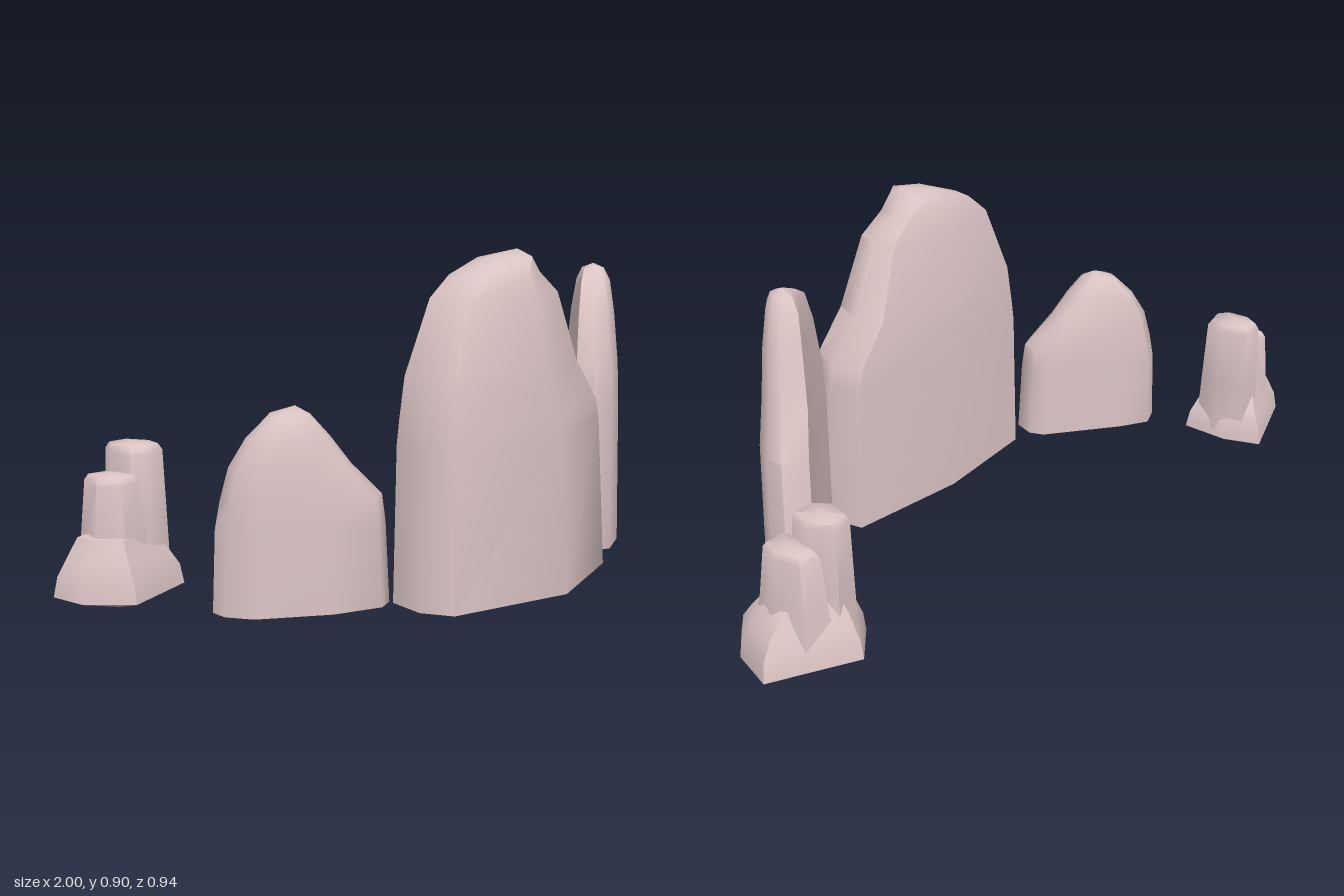
import * as THREE from 'three';
import { toCreasedNormals } from 'three/addons/utils/BufferGeometryUtils.js';

const stone = new THREE.MeshStandardMaterial({ color: 0xdac3c3 });
stone.name = 'pale pink stone';

// Lofts a footprint of [x, z] points upward. dir is the long axis in plan.
// Each ring is [y, start, end, thickness], start and end as fractions of the long axis.
// base and tip are [y, fraction] points closing the bottom and the top.
function rock(name, footprint, dir, base, rings, tip) {
  const len = Math.hypot(dir[0], dir[1]);
  const dx = dir[0] / len, dz = dir[1] / len;
  const local = footprint.map(([x, z]) => [x * dx + z * dz, z * dx - x * dz]);
  const us = local.map((p) => p[0]), vs = local.map((p) => p[1]);
  const u0 = Math.min(...us), span = Math.max(...us) - u0;
  const vc = (Math.min(...vs) + Math.max(...vs)) / 2;
  const pos = [], index = [], n = footprint.length;
  const put = (f, v, y) => {
    const u = u0 + f * span;
    pos.push(u * dx - v * dz, y, u * dz + v * dx);
  };

  for (const [y, start, end, thick] of rings) {
    for (const [u, v] of local) {
      put(start + ((u - u0) / span) * (end - start), vc + (v - vc) * thick, y);
    }
  }
  put(base[1], vc, base[0]);
  put(tip[1], vc, tip[0]);

  const bottom = rings.length * n, top = bottom + 1, last = bottom - n;
  for (let j = 0; j < n; j++) {
    const k = (j + 1) % n;
    for (let i = 0; i < rings.length - 1; i++) {
      const a = i * n + j, b = i * n + k;
      index.push(a, b, b + n, a, b + n, a + n);
    }
    index.push(bottom, k, j, last + j, last + k, top);
  }

  const geo = new THREE.BufferGeometry();
  geo.setAttribute('position', new THREE.Float32BufferAttribute(pos, 3));
  geo.setIndex(index);
  const mesh = new THREE.Mesh(toCreasedNormals(geo, 0.95), stone);
  mesh.name = name;
  return mesh;
}

// A spreading plinth carrying a tall and a short pillar
function cluster(name, dir, plinth, tall, short) {
  const g = new THREE.Group();
  g.name = name;
  g.add(
    rock('plinth', plinth, dir, [0.035, 0.5],
      [[0.08, 0, 1, 1], [0.13, 0.02, 0.98, 0.92], [0.17, 0.07, 0.9, 0.76], [0.225, 0.16, 0.74, 0.55]],
      [0.23, 0.45]),
    rock('tallPillar', tall, dir, [0.09, 0.5],
      [[0.1, -0.08, 1.08, 1.18], [0.25, -0.04, 1.04, 1.1], [0.42, 0, 1, 1], [0.435, 0.08, 0.92, 0.86]],
      [0.442, 0.5]),
    rock('shortPillar', short, dir, [0.09, 0.5],
      [[0.1, -0.25, 1.35, 1.4], [0.22, -0.1, 1.12, 1.2], [0.355, 0, 1, 1], [0.37, 0.1, 0.9, 0.85]],
      [0.377, 0.5]),
  );
  return g;
}

export function createModel() {
  const model = new THREE.Group();
  model.name = 'standingStones';

  // Three upright slabs
  model.add(
    rock('centreSlab',
      [[-0.41, 0.28], [-0.38, 0.365], [-0.04, 0.468], [0.29, 0.37], [0.325, 0.27], [0.30, 0.17], [-0.05, 0.135], [-0.38, 0.17]],
      [1, 0], [0.0, 0.5],
      [[0.025, 0, 1, 1], [0.43, 0.005, 0.965, 0.91], [0.49, 0.015, 0.945, 0.89], [0.6, 0.04, 0.815, 0.84],
        [0.79, 0.14, 0.7, 0.64], [0.845, 0.23, 0.59, 0.54], [0.885, 0.37, 0.55, 0.42]],
      [0.905, 0.507]),
    rock('leftSlab',
      [[0.36, 0.22], [0.37, 0.28], [0.43, 0.305], [0.55, 0.255], [0.68, 0.14], [0.72, 0.07], [0.715, 0.02],
        [0.65, -0.015], [0.49, 0.125], [0.4, 0.19]],
      [0.78, -0.62], [0.01, 0.5],
      [[0.03, 0, 1, 1], [0.45, 0, 0.96, 0.95], [0.56, 0.04, 0.82, 0.88], [0.7, 0.17, 0.74, 0.75],
        [0.79, 0.3, 0.64, 0.6], [0.825, 0.45, 0.59, 0.4]],
      [0.838, 0.52]),
    rock('rightSlab',
      [[-0.78, -0.02], [-0.75, 0.05], [-0.6, 0.17], [-0.48, 0.22], [-0.43, 0.2], [-0.412, 0.14], [-0.43, 0.1],
        [-0.63, -0.05], [-0.71, -0.095], [-0.77, -0.07]],
      [0.85, 0.52], [0.035, 0.5],
      [[0.045, 0, 1, 1], [0.25, 0.02, 0.98, 0.97], [0.32, 0.05, 0.96, 0.93], [0.4, 0.1, 0.78, 0.85],
        [0.47, 0.2, 0.66, 0.7], [0.525, 0.33, 0.55, 0.45]],
      [0.545, 0.47]),
  );

  // Small rock clusters at both ends of the arc
  model.add(
    cluster('leftCluster', [0.91, 0.42],
      [[0.65, -0.11], [0.89, 0], [0.965, -0.08], [1, -0.2], [0.78, -0.31], [0.69, -0.23]],
      [[0.725, -0.17], [0.76, -0.125], [0.82, -0.13], [0.835, -0.19], [0.8, -0.25], [0.74, -0.24]],
      [[0.805, -0.15], [0.82, -0.095], [0.88, -0.09], [0.905, -0.15], [0.885, -0.22], [0.83, -0.23]]),
    cluster('rightCluster', [0.95, -0.31],
      [[-1, -0.27], [-0.92, -0.17], [-0.71, -0.235], [-0.71, -0.37], [-0.75, -0.47], [-1, -0.38]],
      [[-0.835, -0.28], [-0.8, -0.255], [-0.74, -0.27], [-0.72, -0.33], [-0.745, -0.4], [-0.81, -0.4], [-0.84, -0.35]],
      [[-0.925, -0.3], [-0.89, -0.25], [-0.83, -0.255], [-0.81, -0.31], [-0.83, -0.37], [-0.9, -0.375]]),
  );

  return model;
}
